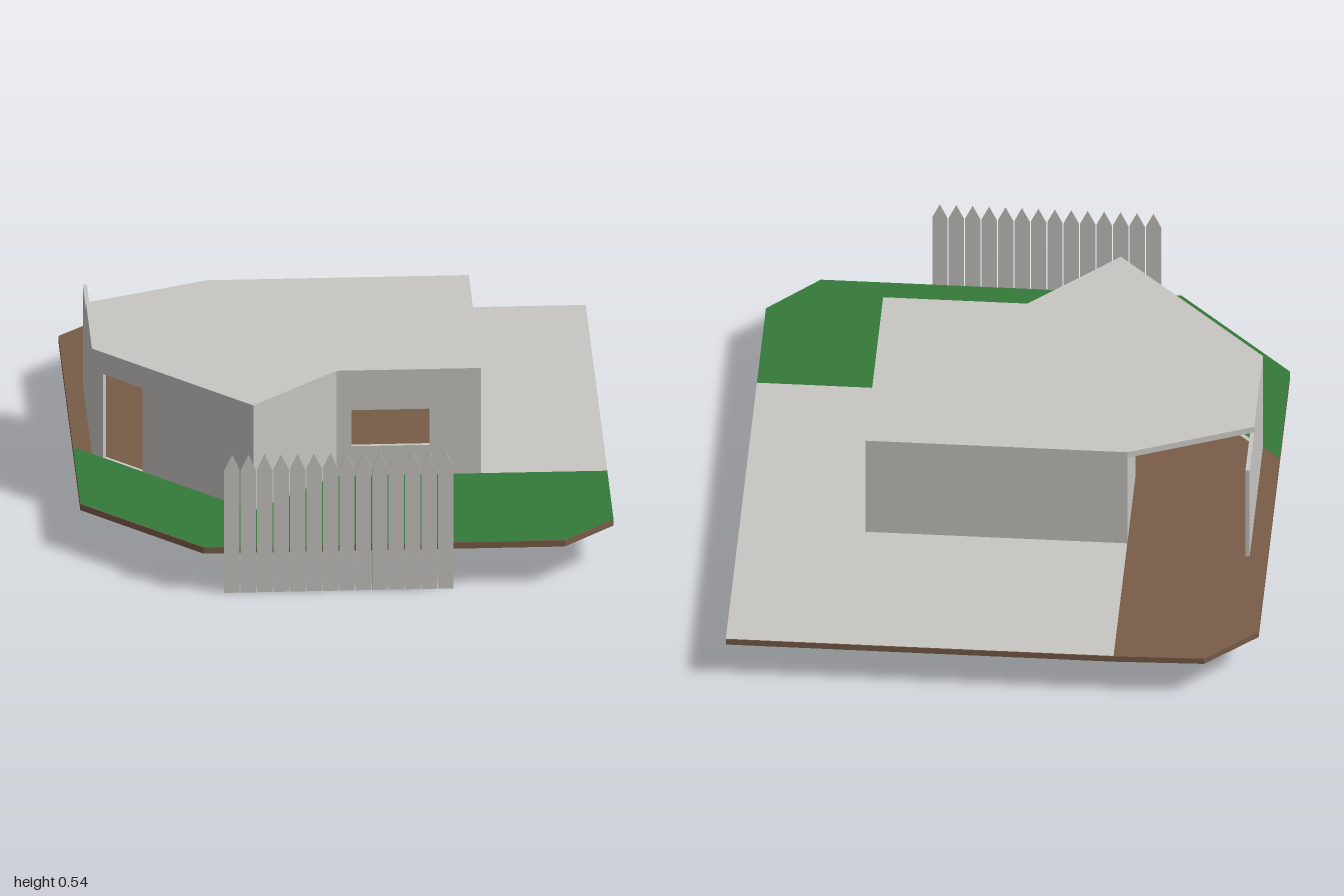
import * as THREE from 'three';

const mat = (name, color) => Object.assign(new THREE.MeshStandardMaterial({ color }), { name });

// Shape from [x, z] plan points
const plan = (pts) => new THREE.Shape(pts.map(([x, z]) => new THREE.Vector2(x, -z)));

export function createModel() {
  const grey = mat('pale grey', 0xc8c6c2);
  const brown = mat('earth brown', 0x785c48);
  const green = mat('grass green', 0x347a3a);
  const group = new THREE.Group();

  const add = (name, geometry, material, y = 0) => {
    const mesh = new THREE.Mesh(geometry, material);
    mesh.name = name;
    mesh.position.y = y;
    group.add(mesh);
    return mesh;
  };
  const slab = (name, pts, y, depth, material) =>
    add(name, new THREE.ExtrudeGeometry(plan(pts), { depth, bevelEnabled: false }).rotateX(-Math.PI / 2), material, y);
  const patch = (name, pts, material) =>
    add(name, new THREE.ShapeGeometry(plan(pts)).rotateX(-Math.PI / 2), material, 0.164);

  // Ground: brown base with paving and lawn laid on top
  slab('groundBase', [[-0.88, -0.83], [-0.71, -0.99], [-0.41, -1], [0.88, -1], [0.88, 0.82],
    [0.71, 0.99], [-0.49, 0.99], [-0.88, 0.6]], 0.14, 0.022, brown);
  patch('paving', [[-0.41, -1], [0.88, -1], [0.88, 0.41], [0.46, 0.41], [0.46, -0.38], [-0.41, -0.38]], grey);
  patch('lawn', [[-0.88, 0.12], [-0.31, 0.69], [-0.02, 0.41], [0.88, 0.41], [0.88, 0.82],
    [0.71, 0.99], [-0.49, 0.99], [-0.88, 0.6]], green);

  // Flat roof, slanted over the open back porch
  slab('roof', [[-0.41, -0.38], [0.46, -0.38], [0.46, 0.41], [-0.02, 0.41], [-0.31, 0.69],
    [-0.82, 0.18], [-0.82, -0.21]], 0.52, 0.023, grey);

  // Thin walls from a to b, outer side on the line; opening is [start, end, bottom, top]
  const base = 0.16, thick = 0.014;
  const wall = (name, [ax, az], [bx, bz], opening) => {
    const length = Math.hypot(bx - ax, bz - az);
    const shape = new THREE.Shape();
    shape.moveTo(0, base).lineTo(length, base).lineTo(length, 0.52).lineTo(0, 0.52).closePath();
    if (opening) {
      const [s, e, b, t] = opening;
      const hole = new THREE.Path();
      hole.moveTo(s, b).lineTo(s, t).lineTo(e, t).lineTo(e, b).closePath();
      shape.holes.push(hole);
    }
    const geometry = new THREE.ExtrudeGeometry(shape, { depth: thick, bevelEnabled: false });
    geometry.translate(0, 0, -thick);
    const mesh = add(name, geometry, grey);
    mesh.position.set(ax, 0, az);
    mesh.rotation.y = Math.atan2(az - bz, bx - ax);
  };
  wall('porchSideWall', [-0.82, -0.42], [-0.82, 0.18]);
  wall('doorWall', [-0.82, 0.18], [-0.31, 0.69], [0.05, 0.226, base + 0.003, 0.465]);
  wall('angledWall', [-0.31, 0.69], [-0.02, 0.41]);
  wall('windowWall', [-0.02, 0.41], [0.46, 0.41], [0.05, 0.31, 0.27, 0.4]);
  wall('endWall', [0.46, 0.41], [0.46, -0.38]);
  wall('backWall', [0.46, -0.38], [-0.41, -0.38]);
  wall('porchInnerWall', [-0.41, -0.38], [-0.41, 0]);

  // Picket fence along the front edge
  const fence = new THREE.Group();
  fence.name = 'fence';
  const count = 14, pitch = 0.765 / count, w = 0.051;
  const picketShape = new THREE.Shape();
  picketShape.moveTo(0, 0).lineTo(w, 0).lineTo(w, 0.44).lineTo(w / 2, 0.495).lineTo(0, 0.44).closePath();
  const picketGeometry = new THREE.ExtrudeGeometry(picketShape, { depth: 0.004, bevelEnabled: false });
  for (let i = 0; i < count; i++) {
    const picket = new THREE.Mesh(picketGeometry, grey);
    picket.name = 'picket';
    picket.position.set(-0.422 + i * pitch, 0, 0.993);
    fence.add(picket);
  }
  group.add(fence);
  return group;
}
